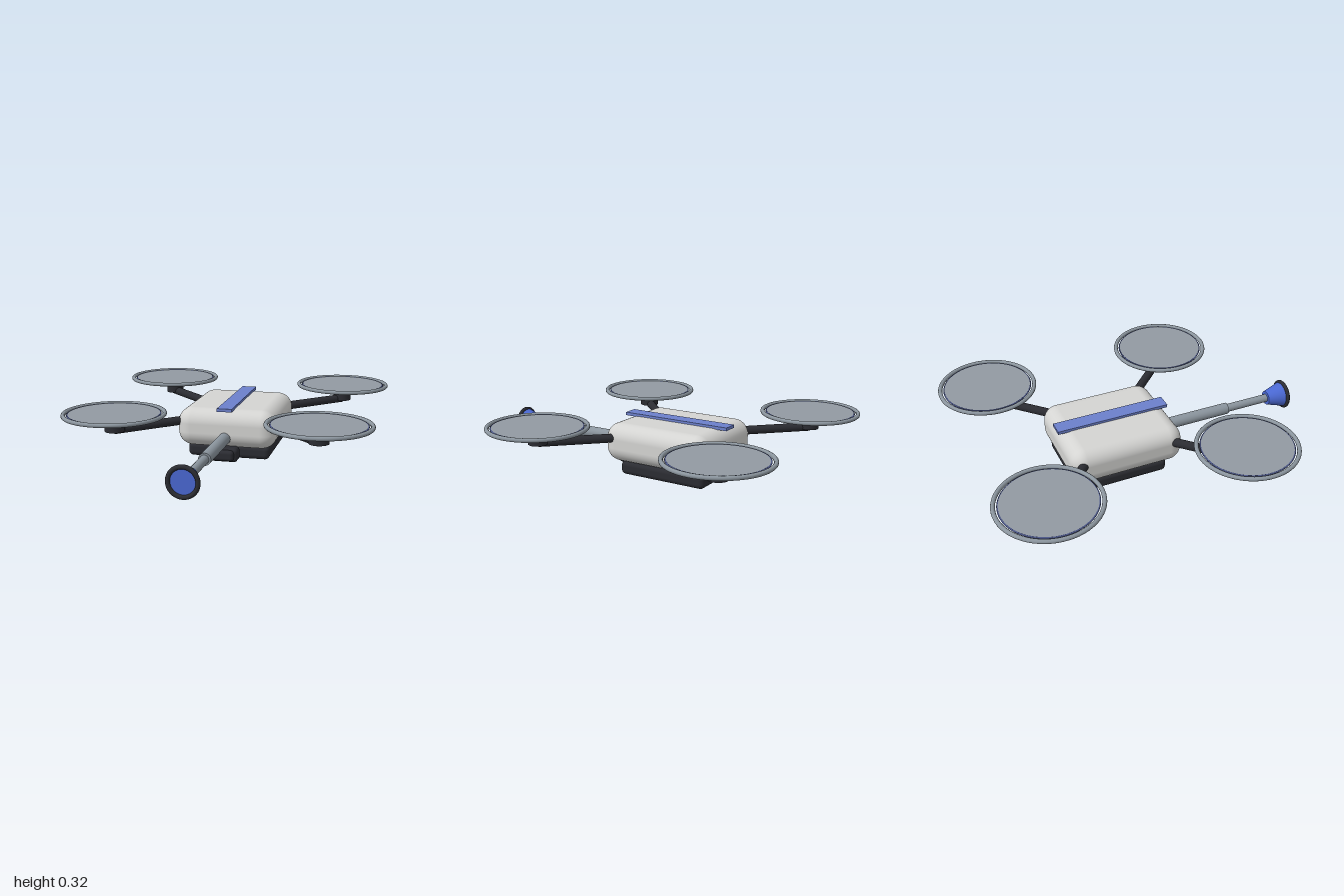
import * as THREE from 'three';
import { RoundedBoxGeometry } from 'three/addons/geometries/RoundedBoxGeometry.js';

const mat = (name, color) => {
  const m = new THREE.MeshStandardMaterial({ color });
  m.name = name;
  return m;
};

export function createModel() {
  const shell = mat('light grey shell', 0xd4d4d2);
  const dark = mat('charcoal', 0x2b2c32);
  const metal = mat('steel grey', 0x8b959e);
  const glass = mat('rotor grey', 0x929aa2);
  const blue = mat('blue', 0x4a68d2);
  const paleBlue = mat('pale blue', 0x6c80cc);
  const trim = mat('navy trim', 0x4c5788);

  const model = new THREE.Group();
  model.name = 'drone';

  const add = (parent, name, geometry, material, x = 0, y = 0, z = 0) => {
    const mesh = new THREE.Mesh(geometry, material);
    mesh.name = name;
    mesh.position.set(x, y, z);
    parent.add(mesh);
    return mesh;
  };

  // Cylinder along z, from z0 (radius r0) to z1 (radius r1)
  const rodZ = (name, material, r0, r1, z0, z1, y) =>
    add(model, name, new THREE.CylinderGeometry(r1, r0, z1 - z0, 40).rotateX(Math.PI / 2),
      material, 0, y, (z0 + z1) / 2);

  // Hull, battery and top stripe
  add(model, 'body', new RoundedBoxGeometry(0.57, 0.22, 0.66, 6, 0.085), shell, 0, 0.185, -0.15);
  add(model, 'battery', new RoundedBoxGeometry(0.475, 0.08, 0.535, 4, 0.028), dark, 0, 0.04, -0.178);
  add(model, 'topStripe', new THREE.BoxGeometry(0.086, 0.018, 0.66), paleBlue, 0, 0.3, -0.15);

  // Camera under the nose
  add(model, 'cameraHousing', new RoundedBoxGeometry(0.16, 0.08, 0.085, 4, 0.022), dark, 0, 0.05, 0.17);
  add(model, 'cameraFront', new RoundedBoxGeometry(0.125, 0.062, 0.06, 4, 0.02), dark, 0, 0.05, 0.203);

  // Telescopic probe with a flared suction cup
  const probeY = 0.137;
  rodZ('probeOuterTube', metal, 0.034, 0.034, 0.1, 0.6, probeY);
  rodZ('probeInnerTube', metal, 0.024, 0.024, 0.58, 0.9, probeY);
  rodZ('cup', blue, 0.042, 0.076, 0.875, 0.985, probeY);
  add(model, 'cupRim', new THREE.TorusGeometry(0.075, 0.012, 12, 48), dark, 0, probeY, 0.988);

  // Four arms, each carrying a motor and a ringed rotor disc
  for (const sx of [-1, 1]) {
    for (const [zRoot, zTip] of [[0.1, 0.41], [-0.4, -0.71]]) {
      const unit = new THREE.Group();
      unit.name = (zTip > 0 ? 'front' : 'back') + (sx > 0 ? 'Left' : 'Right') + 'Rotor';
      model.add(unit);

      const root = new THREE.Vector3(sx * 0.25, 0.215, zRoot);
      const tip = new THREE.Vector3(sx * 0.56, 0.215, zTip);
      const along = tip.clone().sub(root);
      const arm = add(unit, 'arm', new THREE.CylinderGeometry(0.025, 0.025, along.length(), 20), dark);
      arm.position.copy(root).addScaledVector(along, 0.5);
      arm.quaternion.setFromUnitVectors(new THREE.Vector3(0, 1, 0), along.normalize());

      const place = (name, geometry, material, y) =>
        add(unit, name, geometry, material, tip.x, y, tip.z);
      place('motor', new THREE.CylinderGeometry(0.055, 0.055, 0.092, 32), dark, 0.253);
      place('rotorDisc', new THREE.CylinderGeometry(0.25, 0.25, 0.008, 64), glass, 0.304);
      place('discTrim', new THREE.TorusGeometry(0.252, 0.005, 8, 64).rotateX(Math.PI / 2), trim, 0.304);
      place('guardRing', new THREE.TorusGeometry(0.275, 0.012, 12, 64).rotateX(Math.PI / 2), metal, 0.304);
    }
  }
  return model;
}
